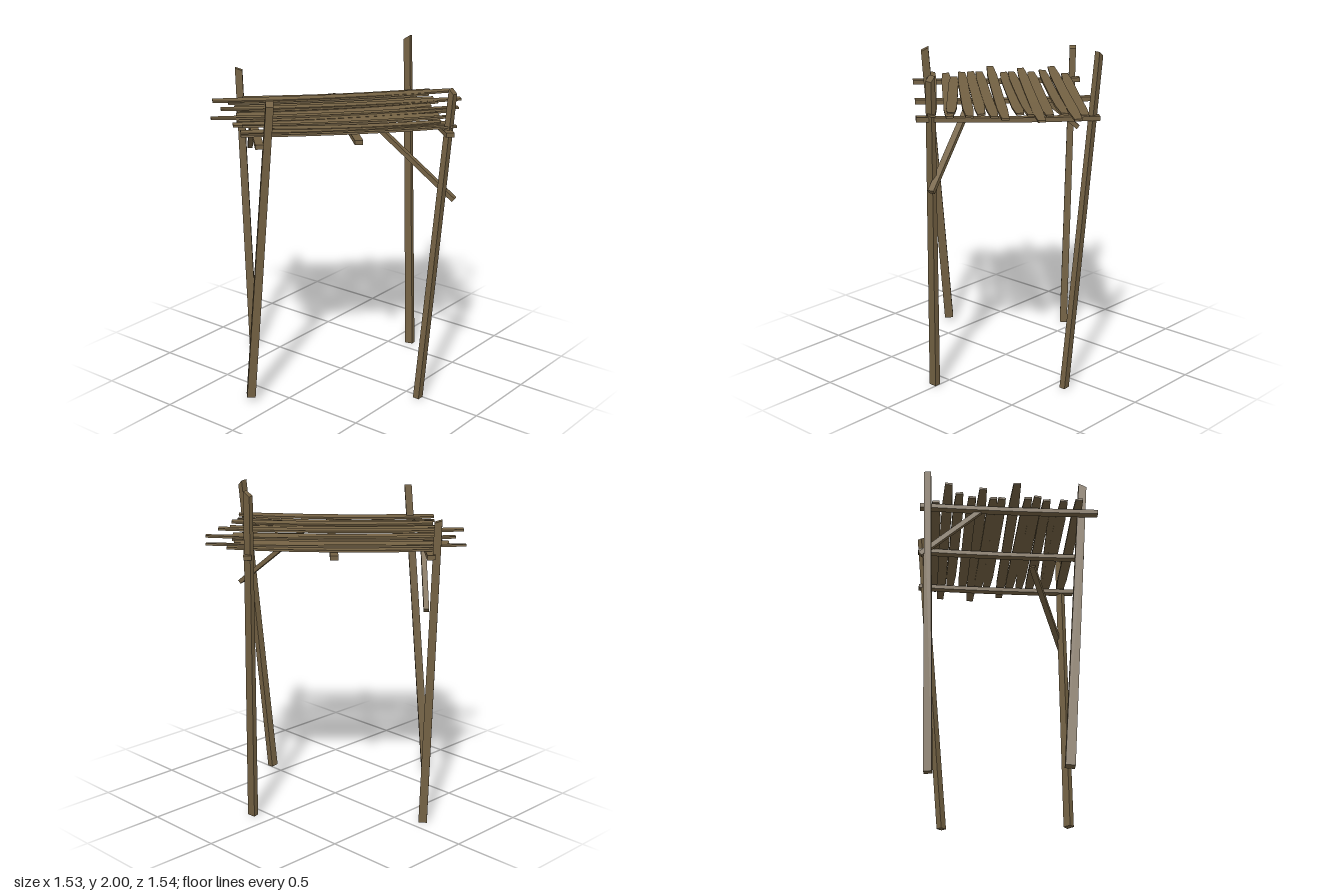
import * as THREE from 'three';

const V = (a) => new THREE.Vector3(...a);

// Squared timber from a to b: w across, h along "up", optional sag, end taper and slanted tip
function timber(name, mat, a, b, w, h, { up = [0, 1, 0], sag = 0, taper = 1, slant = 0, point = 0, segs = 1, roll = 0 } = {}) {
  const start = V(a), end = V(b), dir = end.clone().sub(start);
  const len = dir.length();
  dir.normalize();
  const geo = new THREE.BoxGeometry(w, h, len, 1, 1, segs);
  const p = geo.attributes.position;
  for (let i = 0; i < p.count; i++) {
    const t = p.getZ(i) / len + 0.5;
    let k = 1 + (taper - 1) * t;
    // Roughly hewn, narrowed ends
    if (t < 0.001 || t > 0.999) k *= 1 - point;
    const x = p.getX(i) * k;
    const z = p.getZ(i) + (t > 0.999 ? slant * Math.sign(x) : 0);
    p.setXYZ(i, x, p.getY(i) * (point ? 1 : k) - sag * 4 * t * (1 - t), z);
  }
  const flat = geo.toNonIndexed();
  flat.computeVertexNormals();
  const xAxis = V(up).cross(dir).normalize();
  const yAxis = dir.clone().cross(xAxis);
  const mesh = new THREE.Mesh(flat, mat);
  mesh.name = name;
  mesh.quaternion.setFromRotationMatrix(new THREE.Matrix4().makeBasis(xAxis, yAxis, dir));
  mesh.rotateZ(roll);
  mesh.position.copy(start).add(end).multiplyScalar(0.5);
  return mesh;
}

export function createModel() {
  const group = new THREE.Group();
  group.name = 'woodenPlatform';
  const wood = new THREE.MeshStandardMaterial({ color: 0x736143 });
  wood.name = 'weatheredWood';

  // Four leaning corner posts
  const posts = [
    ['rightPost', [-0.655, 0.005, 0.08], [-0.718, 1.825, 0.085], 0.05, 0.046, [1, 0, 1.2], 0.008],
    ['frontPost', [-0.165, 0.03, 0.655], [0.02, 1.845, 0.65], 0.054, 0.05, [-1, 0, 1], 0.01],
    ['backPost', [0.122, 0.005, -0.573], [-0.01, 1.985, -0.678], 0.05, 0.034, [0.15, 0, 1], -0.012],
    ['leftPost', [0.6, 0.005, 0.022], [0.71, 1.875, -0.095], 0.038, 0.048, [0.05, 0, 1], 0.014],
  ];
  for (const [name, a, b, w, h, up, slant] of posts) {
    group.add(timber(name, wood, a, b, w, h, { up, taper: 0.86, slant }));
  }

  // Three beams carrying the deck
  const beams = [
    ['frontBeam', [-0.72, 1.628, 0.03], [0.03, 1.628, 0.75]],
    ['middleBeam', [-0.35, 1.628, -0.355], [0.4, 1.628, 0.35]],
    ['backBeam', [-0.01, 1.628, -0.69], [0.75, 1.648, -0.02]],
  ];
  for (const [name, a, b] of beams) {
    group.add(timber(name, wood, a, b, 0.046, 0.026, { segs: 4, sag: 0.006 }));
  }

  // Diagonal braces
  group.add(timber('frontBrace', wood, [-0.7, 1.325, 0.02], [-0.45, 1.628, 0.265], 0.03, 0.028));
  group.add(timber('sideBrace', wood, [0.73, 1.245, -0.108], [0.28, 1.635, 0.032], 0.036, 0.026));

  // Deck planks: front end x, z and back end x, z
  const planks = [
    [-0.67, 0.11, 0.14, -0.71], [-0.75, 0.29, 0.26, -0.76], [-0.64, 0.27, 0.195, -0.61],
    [-0.565, 0.3, 0.265, -0.565], [-0.58, 0.4, 0.415, -0.635], [-0.47, 0.38, 0.34, -0.495],
    [-0.44, 0.42, 0.345, -0.42], [-0.49, 0.58, 0.51, -0.46], [-0.335, 0.53, 0.505, -0.375],
    [-0.315, 0.585, 0.5, -0.275], [-0.24, 0.59, 0.6, -0.28], [-0.12, 0.54, 0.6, -0.14],
    [-0.18, 0.67, 0.655, -0.185], [-0.12, 0.735, 0.725, -0.115],
  ];
  planks.forEach(([x0, z0, x1, z1], i) => {
    const lift = ((i * 5) % 3) * 0.004;
    group.add(timber('deckPlank' + (i + 1), wood, [x0, 1.655 + lift, z0], [x1, 1.666 + lift, z1],
      0.06, 0.012, { segs: 6, sag: 0.01, point: 0.3, roll: 0.12 * Math.sin(i * 2.3) }));
  });
  return group;
}
